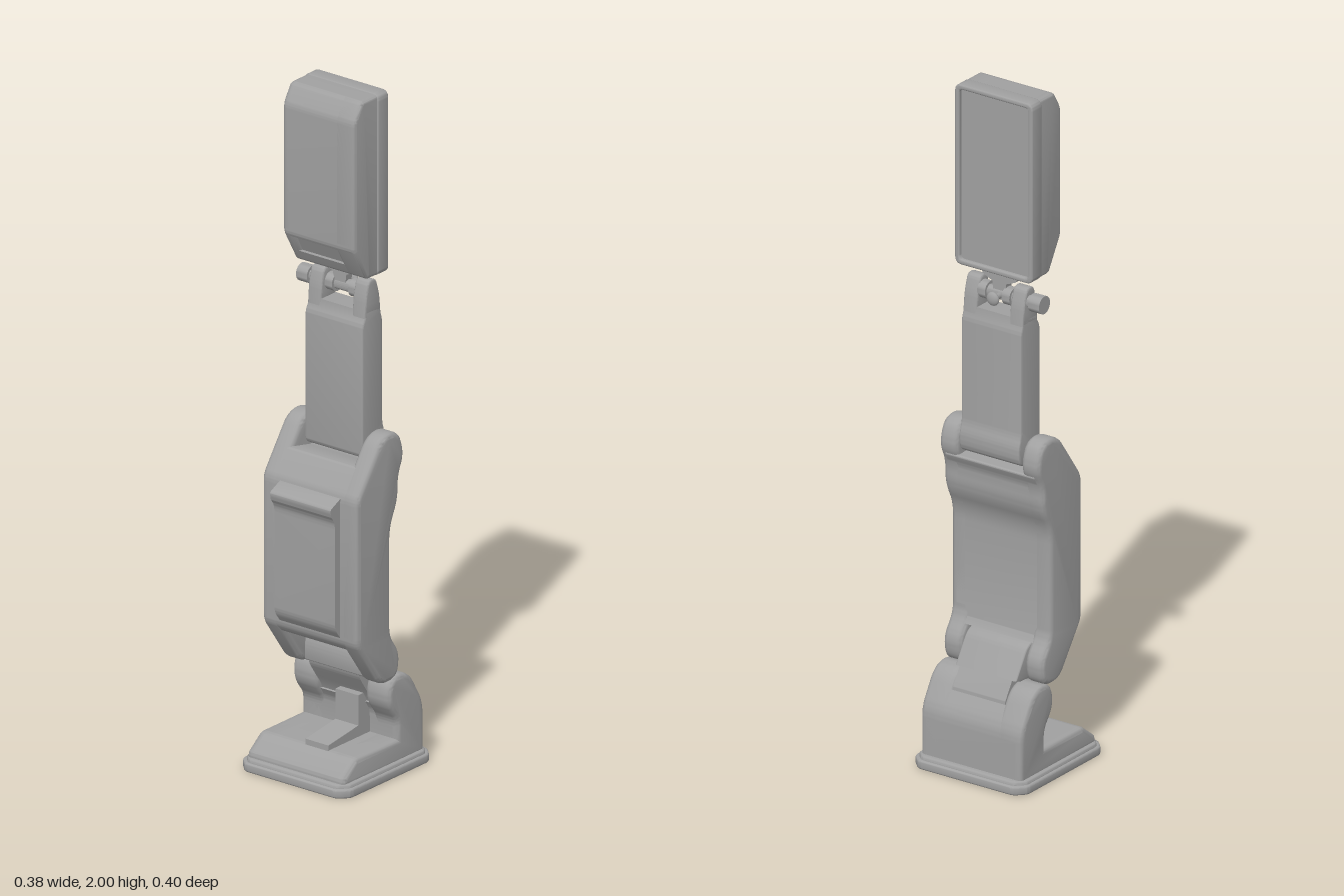
import * as THREE from 'three';
import { toCreasedNormals } from 'three/addons/utils/BufferGeometryUtils.js';
import { RoundedBoxGeometry } from 'three/addons/geometries/RoundedBoxGeometry.js';

const darkGrey = new THREE.MeshStandardMaterial({ color: 0xa0a0a0 });

function add(parent, name, geometry, x = 0, y = 0, z = 0) {
  const mesh = new THREE.Mesh(geometry, darkGrey);
  mesh.name = name;
  mesh.position.set(x, y, z);
  parent.add(mesh);
  return mesh;
}

// Polygon of [a, b, corner cut]; corners with a cut are rounded.
function roundedShape(points, Type = THREE.Shape) {
  const path = new Type();
  const n = points.length;
  const pts = points.map(([a, b]) => new THREE.Vector2(a, b));
  points.forEach(([, , cut = 0], i) => {
    const p = pts[i], before = pts[(i + n - 1) % n], after = pts[(i + 1) % n];
    const t0 = Math.min(cut / p.distanceTo(before), 0.49);
    const t1 = Math.min(cut / p.distanceTo(after), 0.49);
    const start = p.clone().lerp(before, t0), end = p.clone().lerp(after, t1);
    if (i === 0) path.moveTo(start.x, start.y);
    else path.lineTo(start.x, start.y);
    if (cut > 0) path.quadraticCurveTo(p.x, p.y, end.x, end.y);
  });
  path.closePath();
  return path;
}

function extrude(shape, thickness, bevel) {
  const geometry = new THREE.ExtrudeGeometry(shape, {
    depth: thickness - 2 * bevel, curveSegments: 8, bevelEnabled: bevel > 0,
    bevelThickness: bevel, bevelSize: bevel, bevelOffset: -bevel, bevelSegments: 3,
  });
  geometry.translate(0, 0, bevel);
  return toCreasedNormals(geometry, 0.6);
}

// Side profile in (z, y), extruded from x0 to x1.
function slab(parent, name, points, x0, x1, bevel = 0) {
  const geometry = extrude(roundedShape(points), x1 - x0, bevel);
  geometry.rotateY(-Math.PI / 2);
  return add(parent, name, geometry, x1);
}

function mirroredSlabs(parent, name, points, x0, x1, bevel) {
  slab(parent, name + 'Left', points, x0, x1, bevel);
  slab(parent, name + 'Right', points, -x1, -x0, bevel);
}

function rod(parent, name, radius, x0, x1, y, z) {
  const geometry = new THREE.CylinderGeometry(radius, radius, x1 - x0, 24);
  geometry.rotateZ(Math.PI / 2);
  return add(parent, name, toCreasedNormals(geometry, 0.6), (x0 + x1) / 2, y, z);
}

function rect(x0, x1, y0, y1, cut) {
  return [[x0, y0, cut], [x1, y0, cut], [x1, y1, cut], [x0, y1, cut]];
}

function section(root, name) {
  const group = new THREE.Group();
  group.name = name;
  root.add(group);
  return group;
}

function buildFoot(root) {
  const foot = section(root, 'foot');
  // Sole plate with clipped corners and a stepped rim
  const sole = (name, w, d, c, y, h, bevel) => {
    const geometry = extrude(roundedShape([
      [-w + c, -d, 0.012], [w - c, -d, 0.012], [w, -d + c, 0.012], [w, d - c, 0.012],
      [w - c, d, 0.012], [-w + c, d, 0.012], [-w, d - c, 0.012], [-w, -d + c, 0.012]]), h, bevel);
    geometry.rotateX(-Math.PI / 2);
    add(foot, name, geometry, 0, y);
  };
  sole('solePlate', 0.19, 0.2, 0.03, 0, 0.026, 0.005);
  sole('soleRim', 0.182, 0.192, 0.028, 0.012, 0.024, 0.008);
  // Ankle sides with rounded ears, and the lower middle
  mirroredSlabs(foot, 'ankleSide', [
    [0.178, 0.025], [0.178, 0.05, 0.01], [0.12, 0.095, 0.01], [-0.06, 0.095], [-0.06, 0.15, 0.02],
    [-0.015, 0.21, 0.04], [-0.03, 0.285, 0.04], [-0.11, 0.285, 0.05], [-0.174, 0.175, 0.03], [-0.174, 0.025]],
    0.085, 0.17, 0.014);
  slab(foot, 'footMiddle', [
    [0.178, 0.025], [0.178, 0.05, 0.01], [0.12, 0.095, 0.01], [-0.06, 0.095], [-0.06, 0.16, 0.02],
    [-0.04, 0.19], [-0.09, 0.2], [-0.138, 0.232], [-0.174, 0.175, 0.03], [-0.174, 0.025]], -0.15, 0.15);
  // L-shaped stop on the instep
  slab(foot, 'instepStop', [
    [0.12, 0.09], [0.12, 0.11], [-0.01, 0.128], [-0.01, 0.217], [-0.1, 0.217], [-0.1, 0.09]], -0.01, 0.07);
  // Slanted link up to the knee, wider at its top
  slab(foot, 'ankleLink', [
    [0.01, 0.34, 0.02], [-0.01, 0.388, 0.02], [-0.052, 0.375, 0.02], [-0.138, 0.235, 0.01],
    [-0.12, 0.18], [-0.06, 0.15], [-0.045, 0.2, 0.04], [0.012, 0.285, 0.02]], -0.088, 0.088);
  slab(foot, 'kneeBlock', [
    [0.012, 0.285, 0.01], [0.012, 0.34, 0.02], [-0.008, 0.39, 0.02], [-0.052, 0.376, 0.02],
    [-0.104, 0.291], [-0.07, 0.28]], -0.102, 0.102, 0.004);
}

function buildLowerLimb(root) {
  const limb = section(root, 'lowerLimb');
  mirroredSlabs(limb, 'sideRail', [
    [0.115, 0.85, 0.02], [0.005, 1.005, 0.04], [-0.07, 1.005, 0.05], [-0.096, 0.93, 0.04], [-0.068, 0.87, 0.03],
    [-0.068, 0.8, 0.04], [-0.032, 0.73, 0.04], [-0.032, 0.41, 0.03], [-0.075, 0.35, 0.03],
    [-0.065, 0.275, 0.04], [0.012, 0.275, 0.03], [0.115, 0.42, 0.02]], 0.107, 0.168, 0.014);
  slab(limb, 'middleBody', [
    [0.115, 0.85, 0.02], [0.06, 0.927, 0.01], [-0.02, 0.91, 0.01], [-0.088, 0.905, 0.01], [-0.068, 0.87, 0.02],
    [-0.068, 0.8, 0.04], [-0.032, 0.73, 0.04], [-0.032, 0.41, 0.01], [-0.045, 0.39],
    [0.092, 0.392, 0.01], [0.115, 0.42, 0.02]], -0.15, 0.15);
  // Raised front cover with a lip on top
  slab(limb, 'frontCover', [
    [0.09, 0.845], [0.112, 0.845], [0.157, 0.824, 0.006], [0.155, 0.803, 0.006], [0.138, 0.78, 0.02],
    [0.138, 0.465, 0.02], [0.113, 0.432], [0.09, 0.432]], -0.105, 0.107);
}

function buildUpperLimb(root) {
  const limb = section(root, 'upperLimb');
  // Shaft with a swollen foot, topped by a fork
  slab(limb, 'shaft', [
    [0.01, 0.925, 0.02], [0.01, 1.315, 0.012], [-0.001, 1.335], [-0.004, 1.355], [-0.068, 1.355], [-0.071, 1.335],
    [-0.078, 1.315, 0.012], [-0.078, 1.01, 0.02], [-0.09, 0.975, 0.02], [-0.085, 0.918, 0.03]], -0.101, 0.101, 0.005);
  mirroredSlabs(limb, 'forkProng', [
    [-0.001, 1.335], [-0.005, 1.39, 0.02], [-0.018, 1.442, 0.016],
    [-0.05, 1.442, 0.016], [-0.066, 1.39, 0.02], [-0.071, 1.335]], 0.055, 0.101, 0.005);
}

function buildHinge(root) {
  const hinge = section(root, 'hinge');
  rod(hinge, 'pin', 0.018, -0.12, 0.09, 1.402, -0.038);
  rod(hinge, 'pinKnob', 0.026, -0.15, -0.112, 1.402, -0.038);
  for (const x of [-0.05, 0.032]) rod(hinge, 'pinCollar', 0.026, x, x + 0.026, 1.402, -0.038);
  // Neck holding the head to the pin
  const neck = extrude(roundedShape([
    [-0.07, 1.48], [-0.065, 1.452, 0.008], [-0.03, 1.438], [-0.025, 1.4],
    [0.012, 1.4], [0.017, 1.438], [0.05, 1.452, 0.008], [0.055, 1.48]]), 0.026, 0);
  add(hinge, 'neck', neck, 0, 0, -0.05);
  // Domed rear screw
  const stem = new THREE.CylinderGeometry(0.009, 0.009, 0.04, 16).rotateX(Math.PI / 2);
  add(hinge, 'screwStem', stem, -0.01, 1.402, -0.06);
  const cap = new THREE.SphereGeometry(0.02, 20, 12).scale(1, 1, 0.5);
  add(hinge, 'screwHead', cap, -0.01, 1.402, -0.084);
}

function buildHead(root) {
  const head = section(root, 'head');
  // Rear frame around a sunken back plate
  const frame = roundedShape(rect(-0.126, 0.135, 1.464, 2.0, 0.022));
  frame.holes.push(roundedShape(rect(-0.111, 0.12, 1.479, 1.985, 0.012), THREE.Path));
  add(head, 'rearFrame', extrude(frame, 0.046, 0.004), 0, 0, -0.062);
  add(head, 'backPlate', new RoundedBoxGeometry(0.24, 0.516, 0.03, 2, 0.004), 0.0045, 1.732, -0.036);
  // Front casing: two ends and a middle with a pocket in the lower slope
  const outline = [[0.082, 1.565, 0.012], [0.082, 1.945, 0.015], [0.05, 1.997, 0.01], [-0.03, 1.997],
    [-0.03, 1.467], [0.026, 1.467, 0.01]];
  slab(head, 'casingRight', outline, -0.121, -0.09, 0.01);
  slab(head, 'casingLeft', outline, 0.06, 0.131, 0.01);
  const pocket = [[0.046, 1.503], [0.034, 1.503], [0.06, 1.555], [0.076, 1.555]];
  slab(head, 'casingMiddle', [...outline, ...pocket], -0.109, 0.118);
}

export function createModel() {
  const model = new THREE.Group();
  model.name = 'jointedStand';
  [buildFoot, buildLowerLimb, buildUpperLimb, buildHinge, buildHead].forEach((build) => build(model));
  return model;
}
